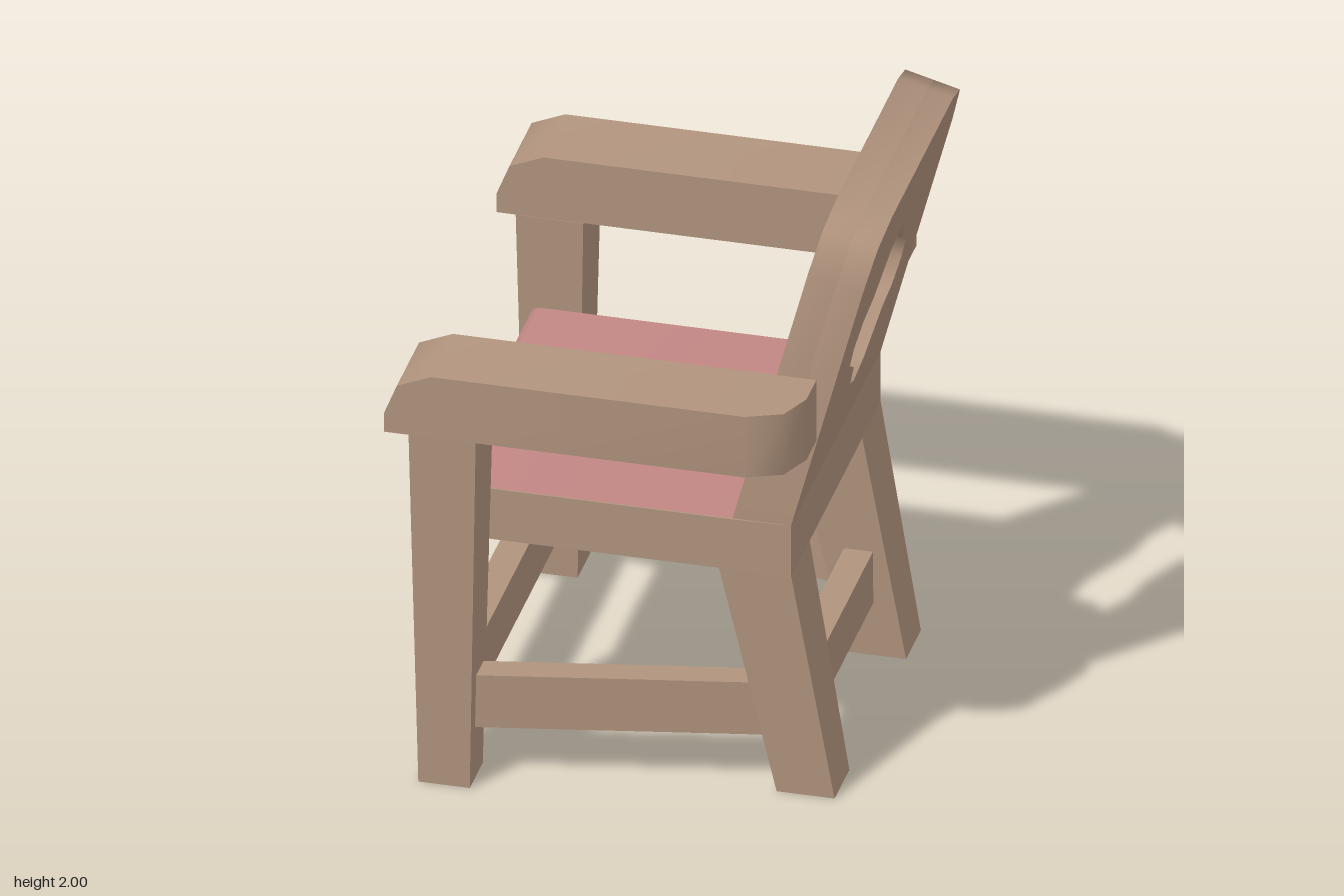
import * as THREE from 'three';
import { toCreasedNormals } from 'three/addons/utils/BufferGeometryUtils.js';

const CREASE = 0.95;

// Tapered bar along 'x' or 'y'. Sections: [position, min, max, zMin, zMax],
// where min/max bound y for an x bar and x for a y bar.
function bar(axis, sections, side = 1) {
  const n = sections.length - 1;
  const alongX = axis === 'x';
  const geo = new THREE.BoxGeometry(1, 1, 1, alongX ? n : 1, alongX ? 1 : n, 1);
  const p = geo.attributes.position;
  for (let i = 0; i < p.count; i++) {
    const along = alongX ? p.getX(i) : p.getY(i);
    const across = alongX ? p.getY(i) : p.getX(i);
    const [pos, a0, a1, z0, z1] = sections[Math.round((along + 0.5) * n)];
    const a = across < 0 ? a0 : a1;
    const outer = (p.getZ(i) > 0) === (side > 0);
    const z = side * (outer ? z1 : z0);
    if (alongX) p.setXYZ(i, pos, a, z);
    else p.setXYZ(i, a, pos, z);
  }
  return toCreasedNormals(geo, CREASE);
}

const outline = (pts) => pts.map(([x, y]) => new THREE.Vector2(x, y));

// Four-lobed cut-out made of octagonal lobes
function cloverPoints(cy) {
  const pts = [];
  for (let k = 0; k < 4; k++) {
    const dir = k * Math.PI / 2;
    for (let j = -3; j < 3; j++) {
      if (j === -3) continue;
      const a = dir + j * Math.PI / 4;
      pts.push([
        0.17 * Math.cos(dir) + 0.12 * Math.cos(a),
        cy + 0.17 * Math.sin(dir) + 0.12 * Math.sin(a),
      ]);
    }
  }
  // drop the notch point each lobe shares with the next one
  return pts.filter((_, i) => i % 5 !== 0).map(([x, y]) => [x, y]);
}

// One layer of the leaning backrest, cut level at its foot
function backLayer(hole, start, depth) {
  const shape = new THREE.Shape(outline([
    [-0.545, 0], [0.545, 0], [0.545, 0.87], [0.5, 1.004], [0.37, 1.05],
    [-0.37, 1.05], [-0.5, 1.004], [-0.545, 0.87],
  ]));
  shape.holes.push(new THREE.Path(outline(hole)));
  const geo = new THREE.ExtrudeGeometry(shape, { depth, bevelEnabled: false });
  geo.translate(0, 0, start);
  const lean = 0.26;
  const p = geo.attributes.position;
  for (let i = 0; i < p.count; i++) {
    if (p.getY(i) < 0.001) p.setY(i, -p.getZ(i) * Math.tan(lean));
  }
  const s = Math.sin(lean), c = Math.cos(lean);
  const m = new THREE.Matrix4().makeBasis(
    new THREE.Vector3(0, 0, 1), new THREE.Vector3(s, c, 0), new THREE.Vector3(-c, s, 0),
  ).setPosition(0.46, 0.94, 0);
  geo.applyMatrix4(m);
  return toCreasedNormals(geo, CREASE);
}

export function createModel() {
  const wood = new THREE.MeshStandardMaterial({ color: 0xb0937d });
  wood.name = 'wood';
  const fabric = new THREE.MeshStandardMaterial({ color: 0xc08683, side: THREE.DoubleSide });
  fabric.name = 'seatFabric';

  const chair = new THREE.Group();
  chair.name = 'armchair';
  const add = (name, geo, mat = wood) => {
    const mesh = new THREE.Mesh(geo, mat);
    mesh.name = name;
    chair.add(mesh);
  };

  // Legs, armrests and side stretchers, mirrored
  for (const [label, side] of [['PlusZ', 1], ['MinusZ', -1]]) {
    add('frontLeg' + label, bar('y', [
      [0, -0.65, -0.49, 0.577, 0.735],
      [1.25, -0.675, -0.465, 0.548, 0.76],
    ], side));
    add('backLeg' + label, bar('y', [
      [0, 0.41, 0.59, 0.345, 0.525],
      [0.765, 0.235, 0.46, 0.32, 0.545],
    ], side));
    add('armrest' + label, bar('x', [
      [-0.735, 1.25, 1.315, 0.55, 0.82],
      [-0.695, 1.25, 1.415, 0.55, 0.82],
      [-0.59, 1.25, 1.46, 0.55, 0.82],
      [0.385, 1.25, 1.46, 0.55, 0.82],
      [0.495, 1.25, 1.46, 0.55, 0.775],
      [0.54, 1.25, 1.46, 0.55, 0.67],
    ], side));
    add('sideStretcher' + label, bar('x', [
      [-0.53, 0.185, 0.365, 0.605, 0.695],
      [0.42, 0.185, 0.365, 0.415, 0.505],
    ], side));
  }

  // Cross stretchers
  add('frontStretcher', bar('x', [
    [-0.615, 0.185, 0.365, -0.62, 0.62], [-0.525, 0.185, 0.365, -0.62, 0.62],
  ]));
  add('backStretcher', bar('x', [
    [0.4, 0.185, 0.365, -0.4, 0.4], [0.49, 0.185, 0.365, -0.4, 0.4],
  ]));

  // Seat body
  const seat = new THREE.ExtrudeGeometry(new THREE.Shape(outline([
    [0.46, 0.762], [0.46, 0.94], [0.28, 0.936], [-0.61, 0.936], [-0.625, 0.905], [-0.575, 0.762],
  ])), { depth: 1.09, bevelEnabled: false });
  seat.translate(0, 0, -0.545);
  add('seatBody', toCreasedNormals(seat, 0.4));

  // Fabric over the top and rolled front edge of the seat
  const strip = [[0.278, 0.94], [-0.6, 0.94], [-0.622, 0.932], [-0.631, 0.905], [-0.612, 0.83], [-0.578, 0.76]];
  const cover = new THREE.PlaneGeometry(1.09, 1, 1, strip.length - 1);
  const p = cover.attributes.position;
  for (let i = 0; i < p.count; i++) {
    const [x, y] = strip[Math.floor(i / 2)];
    p.setXYZ(i, x, y, i % 2 ? -0.545 : 0.545);
  }
  // keep the normals facing up and forward
  cover.computeVertexNormals();
  if (cover.attributes.normal.getY(0) < 0) {
    cover.index.array.reverse();
    cover.computeVertexNormals();
  }
  add('seatCover', toCreasedNormals(cover, CREASE), fabric);

  // Backrest: pierced rear panel and front frame around the recess
  add('backPanel', backLayer(cloverPoints(0.507), 0, 0.083));
  add('backFrame', backLayer([
    [-0.4, 0.085], [0.4, 0.085], [0.4, 0.825], [0.37, 0.895], [-0.37, 0.895], [-0.4, 0.825],
  ], 0.083, 0.093));

  return chair;
}
